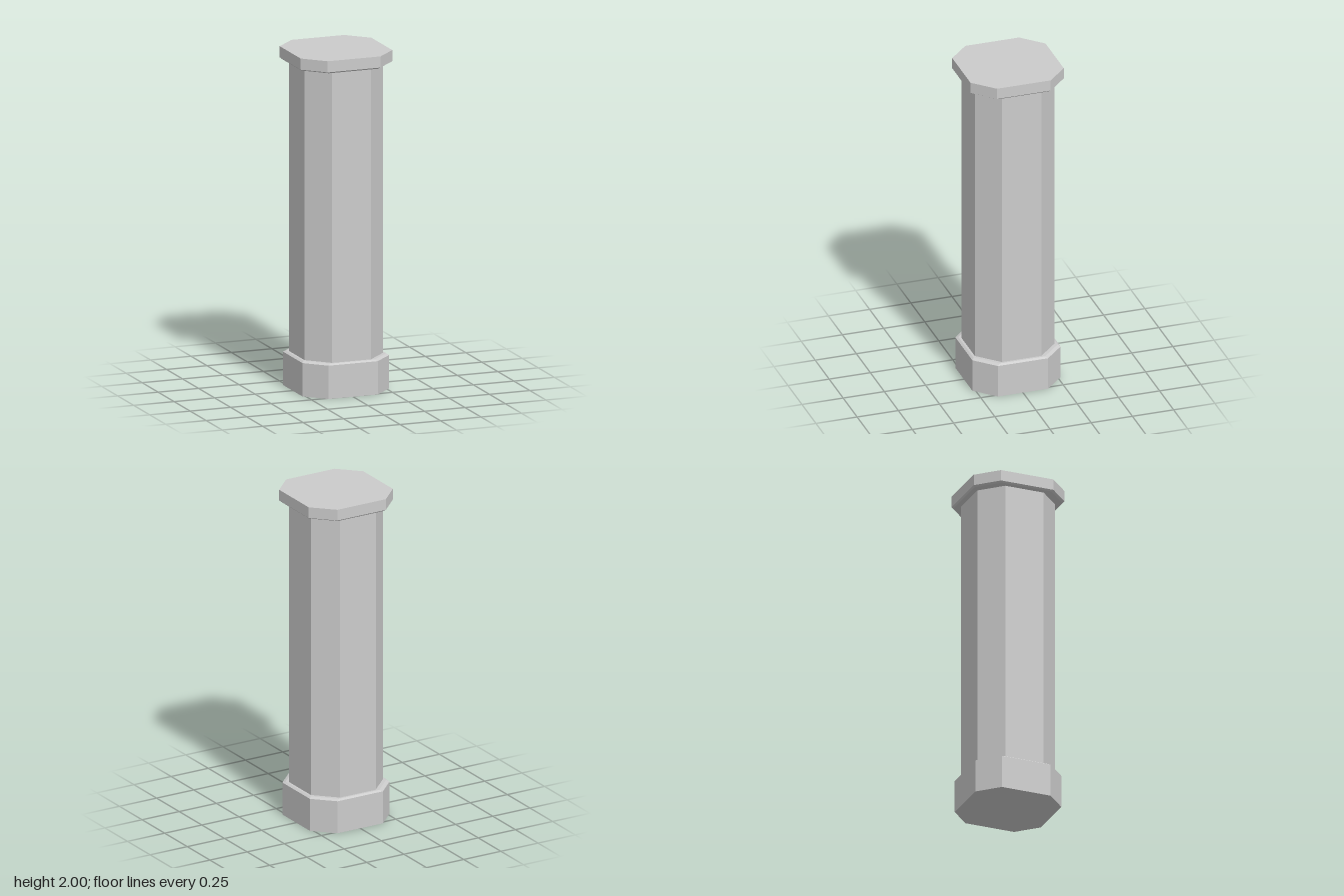
import * as THREE from 'three';

// Square with cut corners: h = half width, f = half length of each main side
function octagon(h, f, y) {
  return [[f, h], [h, f], [h, -f], [f, -h], [-f, -h], [-h, -f], [-h, f], [-f, h]]
    .map(([x, z]) => [x, y, z]);
}

// Closed solid lofted through octagonal rings [h, f, y], listed bottom to top
function loft(name, sections, material) {
  const rings = sections.map((s) => octagon(...s));
  const positions = [];
  const tri = (a, b, c) => positions.push(...a, ...b, ...c);
  for (let k = 0; k < rings.length - 1; k++) {
    for (let i = 0; i < 8; i++) {
      const j = (i + 1) % 8;
      const lower = rings[k], upper = rings[k + 1];
      tri(lower[i], lower[j], upper[j]);
      tri(lower[i], upper[j], upper[i]);
    }
  }
  const bottom = rings[0], top = rings[rings.length - 1];
  for (let i = 1; i < 7; i++) {
    tri(bottom[0], bottom[i + 1], bottom[i]);
    tri(top[0], top[i], top[i + 1]);
  }
  const geometry = new THREE.BufferGeometry();
  geometry.setAttribute('position', new THREE.Float32BufferAttribute(positions, 3));
  geometry.computeVertexNormals();
  const mesh = new THREE.Mesh(geometry, material);
  mesh.name = name;
  return mesh;
}

export function createModel() {
  const group = new THREE.Group();
  group.name = 'octagonalColumn';
  const material = new THREE.MeshStandardMaterial({ color: 0xcccccc, flatShading: true });

  // Plinth with a slim bevel round its top edge
  group.add(loft('base', [[0.268, 0.152, 0], [0.268, 0.152, 0.197], [0.255, 0.137, 0.205]], material));
  // Plain shaft
  group.add(loft('shaft', [[0.242, 0.12, 0.2], [0.242, 0.12, 1.93]], material));
  // Cap slab with a slim bevel round its lower edge
  group.add(loft('cap', [[0.274, 0.153, 1.926], [0.283, 0.163, 1.934], [0.283, 0.163, 2]], material));

  return group;
}
